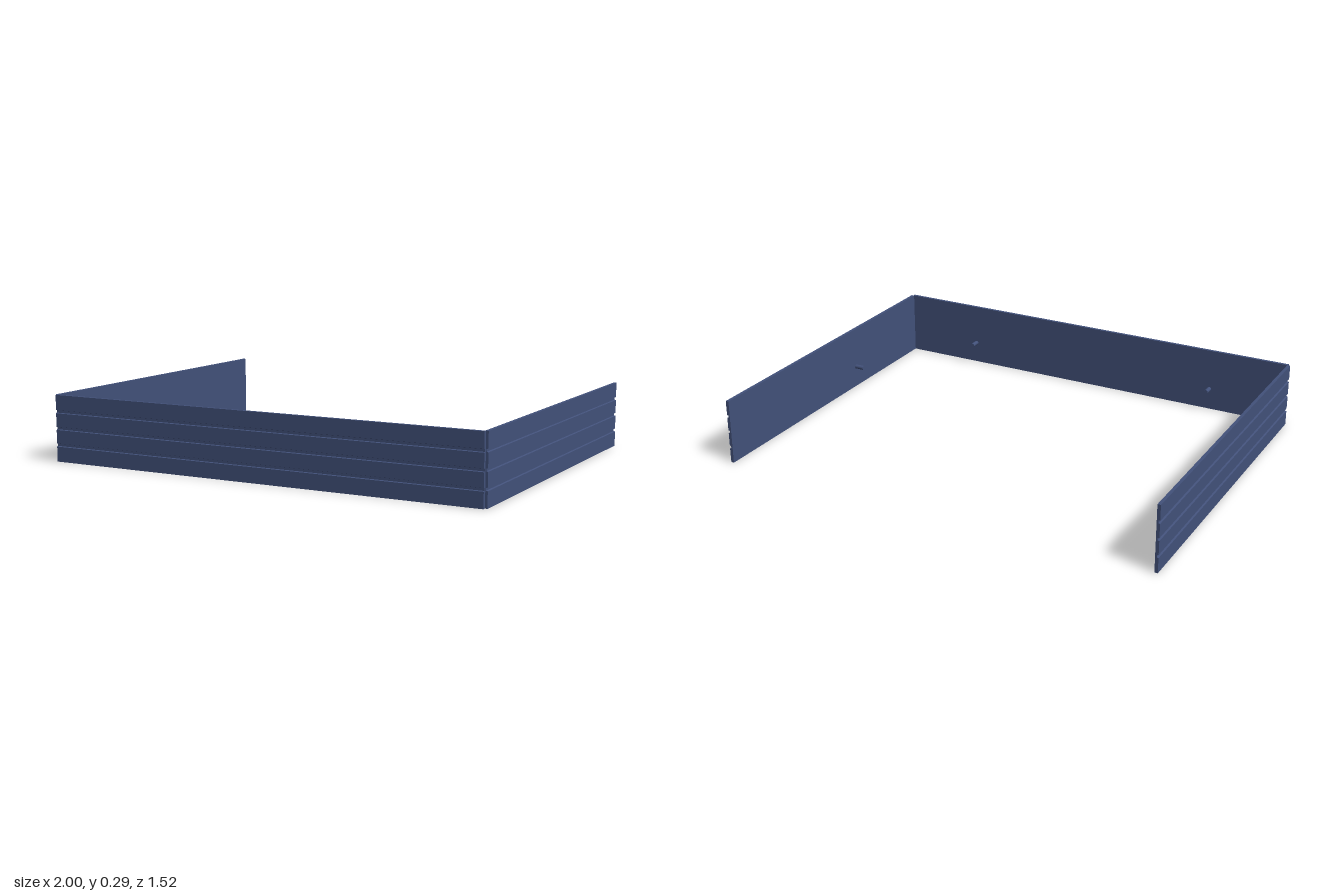
import * as THREE from 'three';

const HEIGHT = 0.29, THICK = 0.014, BOARDS = 4, GROOVE = 0.014, DEPTH = 0.007;

// Grooved panel running along z, inner face at x = 0, outer boards facing +x
function panelGeometry(length) {
  const pitch = HEIGHT / BOARDS, core = THICK - DEPTH;
  const s = new THREE.Shape();
  s.moveTo(0, 0);
  s.lineTo(THICK, 0);
  for (let i = 1; i < BOARDS; i++) {
    const y = i * pitch, h = GROOVE / 2;
    s.lineTo(THICK, y - h);
    s.lineTo(core, y - h + 0.002);
    s.lineTo(core, y + h - 0.002);
    s.lineTo(THICK, y + h);
  }
  s.lineTo(THICK, HEIGHT);
  s.lineTo(0, HEIGHT);
  s.closePath();
  const g = new THREE.ExtrudeGeometry(s, { depth: length, bevelEnabled: false });
  return g.translate(0, 0, -length / 2);
}

export function createModel() {
  const group = new THREE.Group();
  group.name = 'panelSurround';
  const blue = new THREE.MeshStandardMaterial({ color: 0x42517a });
  blue.name = 'slateBlue';

  // Wall with inward pegs at the given positions along its length
  function wall(name, length, pegs) {
    const w = new THREE.Group();
    w.name = name;
    const panel = new THREE.Mesh(panelGeometry(length), blue);
    panel.name = name + 'Boards';
    w.add(panel);
    for (const z of pegs) {
      const peg = new THREE.Mesh(new THREE.CylinderGeometry(0.01, 0.01, 0.045, 20), blue);
      peg.name = name + 'Peg';
      peg.rotation.z = Math.PI / 2;
      peg.position.set(-0.0215, 0.1, z);
      w.add(peg);
    }
    group.add(w);
    return w;
  }

  // Front wall
  const front = wall('frontWall', 1.98, [-0.623, 0.623]);
  front.rotation.y = -Math.PI / 2;
  front.position.z = 0.758 - THICK;

  // Side walls
  const sideLength = 1.502, sideZ = -0.758 + sideLength / 2;
  const left = wall('leftWall', sideLength, [0.2 - sideZ]);
  left.position.set(1 - THICK, 0, sideZ);
  const right = wall('rightWall', sideLength, [sideZ - 0.2]);
  right.rotation.y = Math.PI;
  right.position.set(-1 + THICK, 0, sideZ);

  return group;
}
